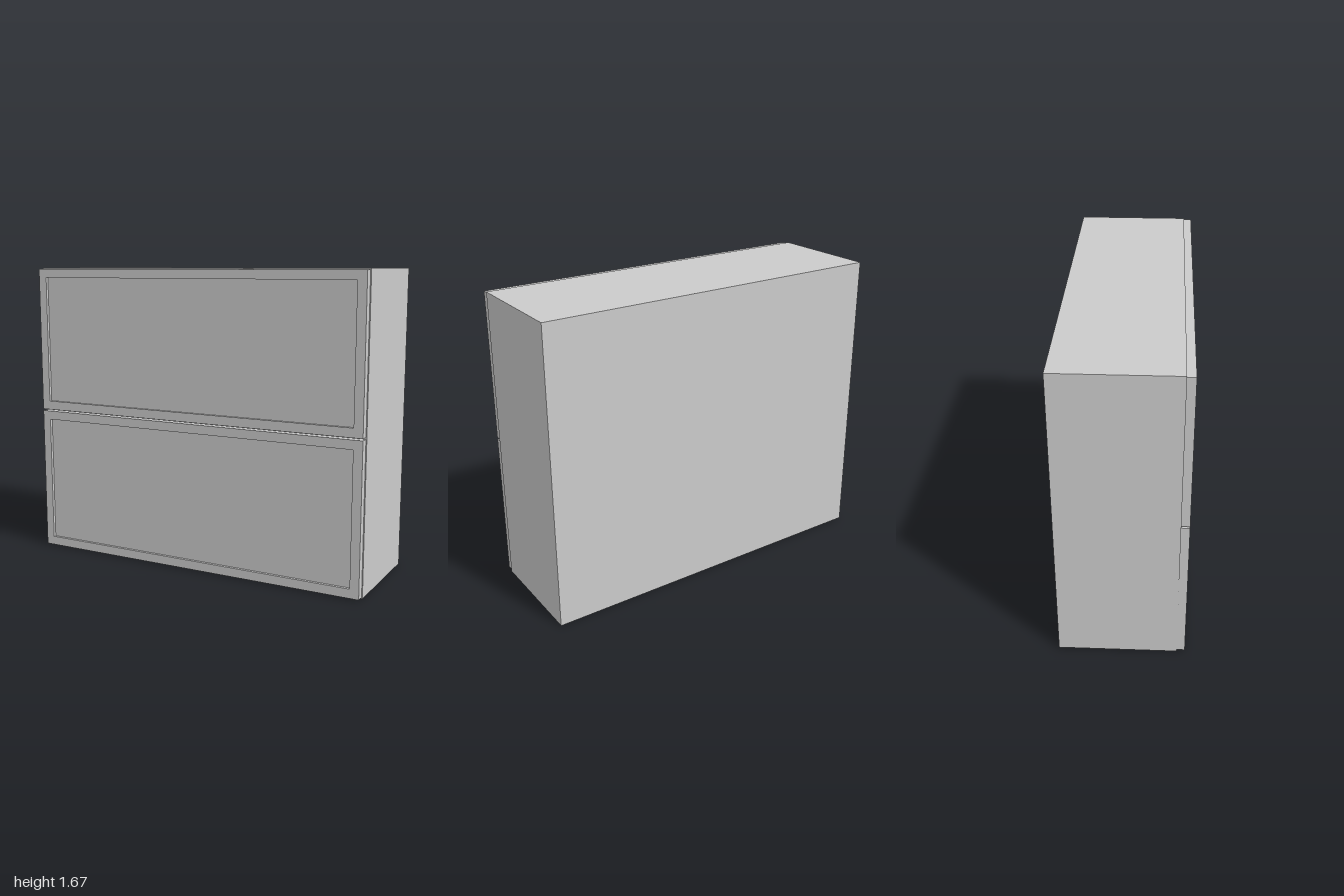
import * as THREE from 'three';

const material = new THREE.MeshStandardMaterial({ color: 0xcccccc });

// Overall dimensions
const W = 2, H = 1.667, BACK = -0.333, FRONT = 0.29, T = 0.036;
const DOOR_W = 1.99, DOOR_H = 0.822, DOOR_T = 0.043, RAIL = 0.05, RECESS = 0.016;

function addBox(parent, name, size, position) {
  const mesh = new THREE.Mesh(new THREE.BoxGeometry(...size), material);
  mesh.name = name;
  mesh.position.set(...position);
  parent.add(mesh);
  return mesh;
}

function rectangle(target, w, h) {
  target.moveTo(-w / 2, -h / 2);
  target.lineTo(w / 2, -h / 2);
  target.lineTo(w / 2, h / 2);
  target.lineTo(-w / 2, h / 2);
  target.closePath();
  return target;
}

// Framed flap front with a recessed centre panel
function createDoor(name, y) {
  const door = new THREE.Group();
  door.name = name;
  const innerW = DOOR_W - 2 * RAIL, innerH = DOOR_H - 2 * RAIL;
  const shape = rectangle(new THREE.Shape(), DOOR_W, DOOR_H);
  shape.holes.push(rectangle(new THREE.Path(), innerW, innerH));
  const frame = new THREE.Mesh(
    new THREE.ExtrudeGeometry(shape, { depth: DOOR_T, bevelEnabled: false }), material);
  frame.name = 'doorFrame';
  door.add(frame);
  const panelT = DOOR_T - RECESS;
  addBox(door, 'doorPanel', [innerW, innerH, panelT], [0, 0, panelT / 2]);
  door.position.set(0, y, FRONT);
  return door;
}

export function createModel() {
  const cabinet = new THREE.Group();
  cabinet.name = 'wallCabinet';
  const depth = FRONT - BACK, midZ = (FRONT + BACK) / 2, innerW = W - 2 * T;

  // Side panels
  for (const [name, side] of [['leftSide', 1], ['rightSide', -1]]) {
    addBox(cabinet, name, [T, H, depth], [side * (W - T) / 2, H / 2, midZ]);
  }

  // Top and bottom boards between the sides
  addBox(cabinet, 'topBoard', [innerW, T, depth], [0, H - T / 2, midZ]);
  addBox(cabinet, 'bottomBoard', [innerW, T, depth], [0, T / 2, midZ]);

  // Back panel and middle shelf
  const backT = 0.01;
  addBox(cabinet, 'backPanel', [innerW, H - 2 * T, backT], [0, H / 2, BACK + backT / 2]);
  addBox(cabinet, 'middleShelf', [innerW, T, depth - backT], [0, H / 2, midZ + backT / 2]);

  // Two stacked doors with a narrow gap between them
  const offset = DOOR_H / 2 + 0.005;
  cabinet.add(createDoor('lowerDoor', H / 2 - offset));
  cabinet.add(createDoor('upperDoor', H / 2 + offset));

  return cabinet;
}
